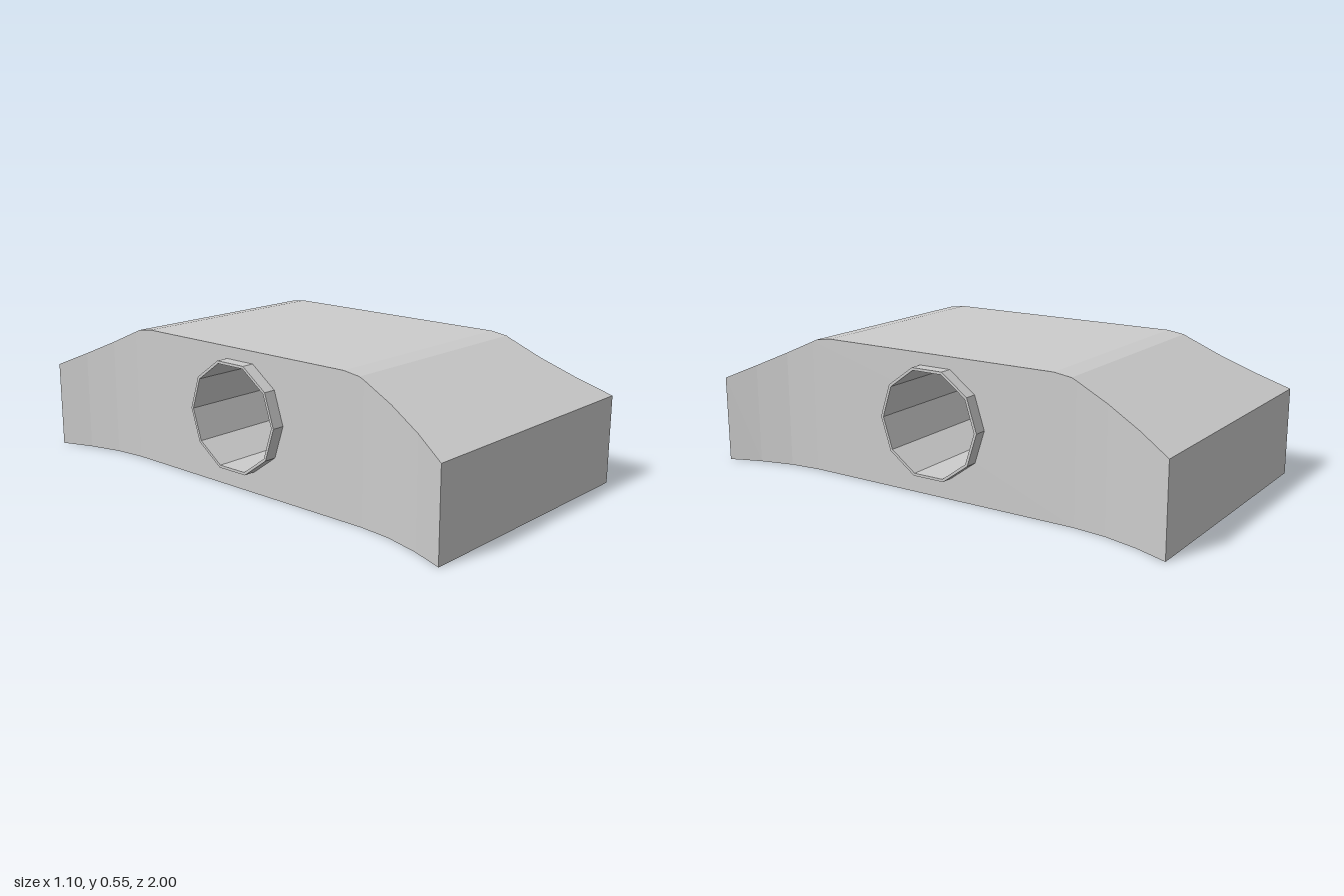
import * as THREE from 'three';

const grey = new THREE.MeshStandardMaterial({ color: 0xcccccc });
grey.name = 'plain grey';

const HOLE_Y = 0.293;

// Closed ten-sided outline with a flat top and a point at each side
function decagon(Type, radius) {
  const points = [];
  for (let i = 0; i < 10; i++) {
    const a = (i / 10) * Math.PI * 2;
    points.push(new THREE.Vector2(Math.cos(a) * radius, HOLE_Y + Math.sin(a) * radius));
  }
  return new Type(points);
}

// Extrudes a side outline across the width, centred on x = 0
function acrossWidth(shape, width) {
  return new THREE.ExtrudeGeometry(shape, { depth: width, bevelEnabled: false })
    .translate(0, 0, -width / 2)
    .rotateY(Math.PI / 2);
}

// Flared end lofted through rectangular sections of [z, half width, height]
function flaredEndGeometry() {
  const sections = [[0.6, 0.45, 0.531], [0.73, 0.464, 0.472], [0.87, 0.5, 0.409], [1, 0.55, 0.35]]
    .map(([z, w, h]) => [[w, 0, z], [w, h, z], [-w, h, z], [-w, 0, z]]);
  const positions = [];
  const quad = (a, b, c, d) => positions.push(...a, ...b, ...c, ...a, ...c, ...d);
  for (let s = 0; s < sections.length - 1; s++) {
    const near = sections[s], far = sections[s + 1];
    for (let i = 0; i < 4; i++) {
      const j = (i + 1) % 4;
      quad(near[i], near[j], far[j], far[i]);
    }
  }
  quad(...sections[sections.length - 1]);
  const geometry = new THREE.BufferGeometry();
  geometry.setAttribute('position', new THREE.Float32BufferAttribute(positions, 3));
  geometry.computeVertexNormals();
  return geometry;
}

export function createModel() {
  const model = new THREE.Group();
  model.name = 'flaredBlock';
  const add = (name, geometry) => {
    const mesh = new THREE.Mesh(geometry, grey);
    mesh.name = name;
    model.add(mesh);
    return mesh;
  };

  // Straight middle with softened roof edges and a through hole
  const side = new THREE.Shape([
    [-0.6, 0], [0.6, 0], [0.6, 0.531], [0.58, 0.54], [0.51, 0.55],
    [-0.51, 0.55], [-0.58, 0.54], [-0.6, 0.531],
  ].map(([z, y]) => new THREE.Vector2(z, y)));
  side.holes.push(decagon(THREE.Path, 0.215));
  add('middleBody', acrossWidth(side, 0.9));

  // Flared front and back ends
  const end = flaredEndGeometry();
  add('frontEnd', end);
  add('backEnd', end).rotation.y = Math.PI;

  // Ten-sided sleeve lining the hole and standing proud on both sides
  const sleeve = decagon(THREE.Shape, 0.22);
  sleeve.holes.push(decagon(THREE.Path, 0.209));
  add('holeSleeve', acrossWidth(sleeve, 1));

  return model;
}
